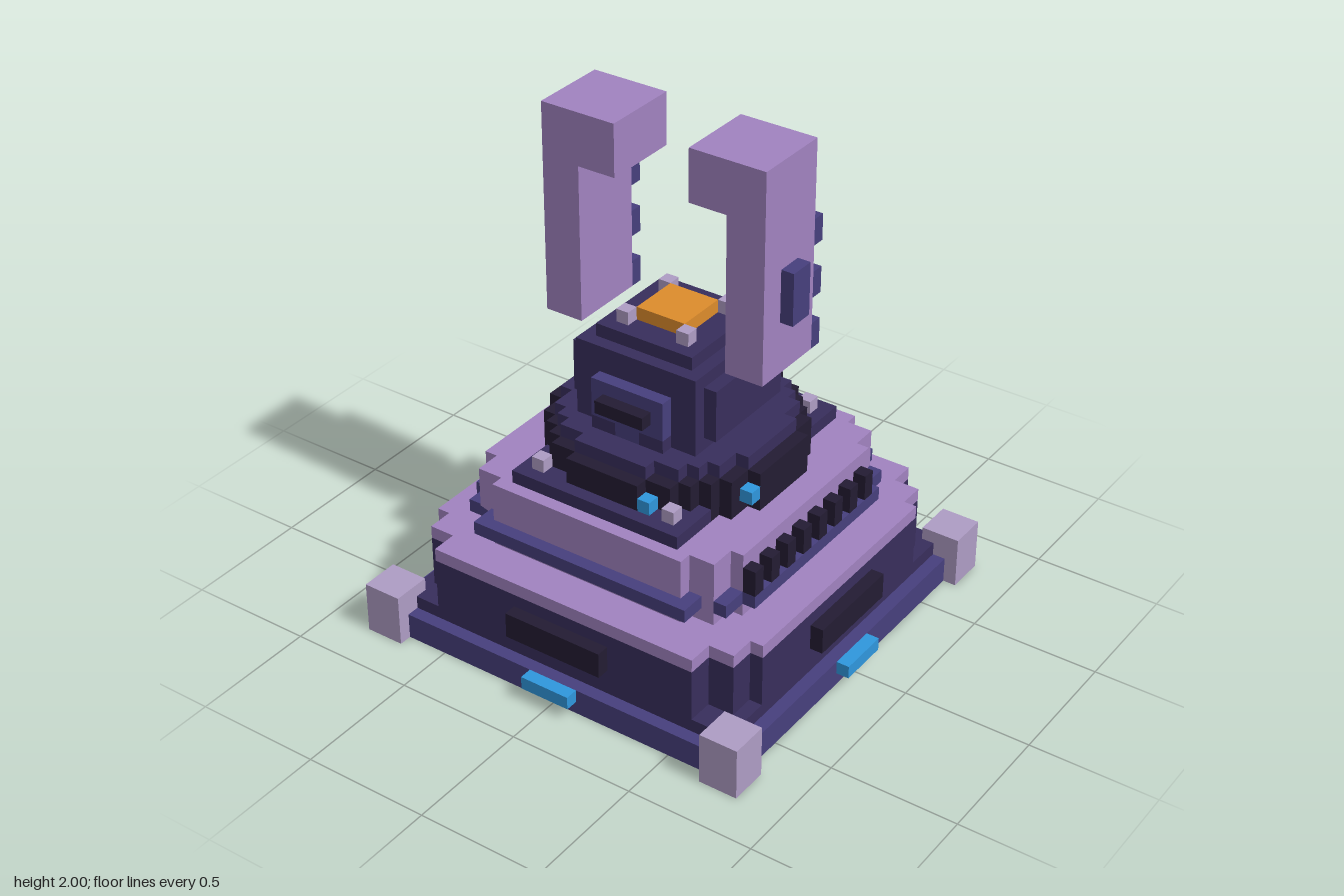
import * as THREE from 'three';

const U = 2 / 39; // one block; the model is 39 blocks tall

const mat = (color) => new THREE.MeshStandardMaterial({ color, flatShading: true });

export function createModel() {
  const root = new THREE.Group();
  const dark = mat(0x382e5c), indigo = mat(0x473f7d), black = mat(0x231c33);
  const violet = mat(0xa183c0), lilac = mat(0xae9cc4), blue = mat(0x2f97dd), orange = mat(0xdd8c2c);

  const add = (name, geometry, material, parent = root) => {
    const mesh = new THREE.Mesh(geometry, material);
    mesh.name = name;
    parent.add(mesh);
    return mesh;
  };

  // Box given by its limits, in blocks
  const box = (name, material, x0, x1, y0, y1, z0, z1, parent) => {
    const mesh = add(name, new THREE.BoxGeometry((x1 - x0) * U, (y1 - y0) * U, (z1 - z0) * U), material, parent);
    mesh.position.set((x0 + x1) * U / 2, (y0 + y1) * U / 2, (z0 + z1) * U / 2);
    return mesh;
  };

  // Slab with stepped corners: each step [x, z] is a rectangle half size
  const stepped = (name, material, y0, y1, steps) => {
    const q = [];
    steps.forEach(([x, z], i) => {
      q.push([x, z]);
      if (i < steps.length - 1) q.push([x, steps[i + 1][1]]);
    });
    const r = [...q].reverse();
    const outline = [
      ...q,
      ...r.map(([x, z]) => [x, -z]),
      ...q.map(([x, z]) => [-x, -z]),
      ...r.map(([x, z]) => [-x, z]),
    ].map(([x, z]) => new THREE.Vector2(x * U, z * U));
    const geometry = new THREE.ExtrudeGeometry(new THREE.Shape(outline), { depth: (y1 - y0) * U, bevelEnabled: false });
    geometry.rotateX(-Math.PI / 2);
    geometry.translate(0, y0 * U, 0);
    return add(name, geometry, material);
  };

  // Base
  box('basePlate', indigo, -15, 15, 0, 2, -15, 15);
  box('baseLedge', dark, -14, 14, 2, 3, -14, 14);
  const baseSteps = [[11, 14], [13, 12], [14, 10]];
  stepped('baseBody', dark, 3, 7, baseSteps);
  stepped('baseTop', violet, 7, 8, baseSteps);
  for (const sx of [-1, 1]) for (const sz of [-1, 1]) {
    const x = sx * 14.5, z = sz * 14.5;
    box('cornerFoot', lilac, x - 1.5, x + 1.5, 0, 4, z - 1.5, z + 1.5);
  }

  // One dark panel and one light on each side of the base
  for (let i = 0; i < 4; i++) {
    const side = new THREE.Group();
    side.name = 'baseSide';
    side.rotation.y = i * Math.PI / 2;
    root.add(side);
    box('basePanel', black, -4, 4, 4, 6, 14, 15, side);
    box('baseLight', blue, -2, 2, 1, 2, 15, 16, side);
  }

  // Middle tier with its band and the row of vents on the left
  stepped('middleTier', violet, 8, 13, [[8, 11], [10, 10], [11, 8]]);
  stepped('middleBand', indigo, 9, 10, [[9, 12], [11, 10], [12, 8]]);
  for (let z = -7; z <= 7; z += 2) box('vent', black, 11, 12, 10, 12, z, z + 1);

  // Turntable
  box('turntablePlate', dark, -7, 7, 13, 14, -10, 10);
  stepped('turntableRing', black, 13, 16, [[3, 9], [5, 8], [6, 7], [7, 6], [8, 5], [9, 3]]);
  stepped('turntableTop', dark, 16, 17, [[3, 8], [5, 7], [6, 6], [7, 5], [8, 3]]);
  for (const x of [-6, 5]) for (const z of [-9, 8]) box('turntableStud', lilac, x, x + 1, 14, 15, z, z + 1);
  box('turntableLight', blue, 3, 4, 14, 15, 8, 9);
  box('turntableLight', blue, 8, 9, 14, 15, 3, 4);

  // Core
  box('coreBody', dark, -5, 5, 17, 23, -5, 5);
  box('coreCap', dark, -4, 4, 23, 24, -4, 4);
  for (const x of [-6, 5]) box('coreSidePanel', dark, x, x + 1, 18, 22, -4, 4);
  box('coreBackPanel', dark, -4, 4, 18, 22, -6, -5);
  box('coreBackLight', blue, -3, -1, 19, 20, -7, -6);
  box('coreFrontPanel', indigo, -3, 3, 18, 21, 5, 6);
  for (const x of [-3, 1]) box('coreFrontFoot', dark, x, x + 2, 17, 18, 5, 6);
  box('coreFrontStem', indigo, -1, 1, 17, 18, 5, 6);
  box('coreFrontSlot', black, -2, 2, 19, 20, 6, 7);
  box('powerPad', orange, -2, 2, 24, 25, -2, 2);
  for (const x of [-3, 2]) for (const z of [-3, 2]) box('powerPadPost', lilac, x, x + 1, 24, 25, z, z + 1);

  // Floating hooked arms
  for (const s of [-1, 1]) {
    const arm = new THREE.Group();
    arm.name = s > 0 ? 'leftArm' : 'rightArm';
    root.add(arm);
    const hook = new THREE.Shape(
      [[6, 23], [9, 23], [9, 39], [3, 39], [3, 35], [6, 35]].map(([x, y]) => new THREE.Vector2(s * x * U, y * U)));
    const geometry = new THREE.ExtrudeGeometry(hook, { depth: 6 * U, bevelEnabled: false });
    geometry.translate(0, 0, -3 * U);
    add('armHook', geometry, violet, arm);
    const x = s * 9.5;
    box('armSidePlate', indigo, x - 0.5, x + 0.5, 27, 31, -1, 1, arm);
    for (const y of [23, 27, 31]) box('armRib', indigo, s * 7.5 - 1.5, s * 7.5 + 1.5, y, y + 2, -4, -3, arm);
  }

  return root;
}
